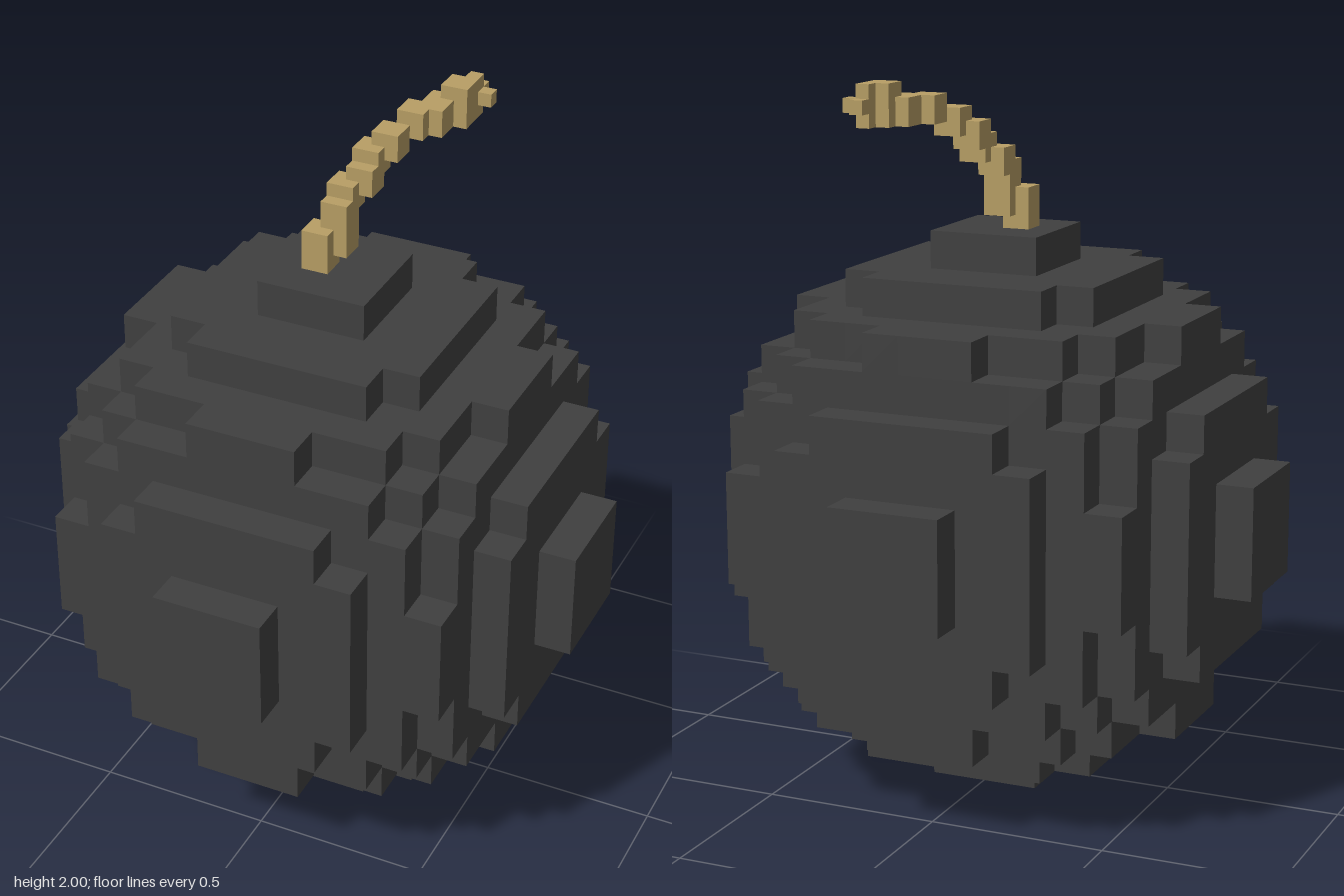
import * as THREE from 'three';
import { mergeGeometries } from 'three/addons/utils/BufferGeometryUtils.js';

// Outward turns of a +z facing square, one per cube side
const SIDES = [
  [1, 0, 0], [-1, 0, 0], [0, 1, 0], [0, -1, 0], [0, 0, 1], [0, 0, -1],
].map((d) => ({
  d,
  turn: new THREE.Quaternion().setFromUnitVectors(new THREE.Vector3(0, 0, 1), new THREE.Vector3(...d)),
}));

// Skin of a set of cube cells: only the exposed sides are built
function voxelMesh(name, cells, size, color) {
  const key = (x, y, z) => `${x},${y},${z}`;
  const filled = new Map(cells.map((c) => [key(...c), c]));
  const quads = [];
  for (const [x, y, z] of filled.values()) {
    for (const { d, turn } of SIDES) {
      if (filled.has(key(x + d[0], y + d[1], z + d[2]))) continue;
      quads.push(new THREE.PlaneGeometry(size, size)
        .translate(0, 0, size / 2)
        .applyQuaternion(turn)
        .translate(x * size, y * size, z * size));
    }
  }
  const mesh = new THREE.Mesh(
    mergeGeometries(quads),
    new THREE.MeshStandardMaterial({ color, flatShading: true }),
  );
  mesh.name = name;
  return mesh;
}

export function createModel() {
  const group = new THREE.Group();
  group.name = 'bomb';

  // Round body: a ball of cubes, 15 cells across
  const bodyCell = 0.105, r = 7;
  const ball = [];
  for (let x = -r; x <= r; x++)
    for (let y = -r; y <= r; y++)
      for (let z = -r; z <= r; z++)
        if (x * x + y * y + z * z <= 51) ball.push([x, y, z]);
  const body = voxelMesh('body', ball, bodyCell, 0x404040);
  body.position.y = 7.5 * bodyCell;
  group.add(body);

  // Fuse: 2x2x2 blocks stamped along a bending path (x, up, back)
  const fuseCell = 0.0386;
  const path = [
    [0, 0, 0], [0, 1, 0], [1, 1, 1], [1, 2, 1], [1, 3, 1], [1, 4, 2], [2, 5, 3], [2, 6, 4],
    [3, 7, 5], [4, 8, 7], [5, 8, 8], [5, 8, 9], [6, 8, 10], [6, 9, 10],
  ];
  const strand = [];
  for (const [x, y, b] of path)
    for (let i = 0; i < 8; i++) strand.push([x + (i & 1), y + ((i >> 1) & 1), -b - (i >> 2)]);
  // Star-shaped fuse tip
  strand.push([7, 9, -12]);
  for (const { d } of SIDES) if (d[0] >= 0) strand.push([7 + d[0], 9 + d[1], -12 + d[2]]);
  const fuse = voxelMesh('fuse', strand, fuseCell, 0xb89f65);
  fuse.position.set(-0.081 + fuseCell / 2, 15 * bodyCell + fuseCell / 2, 0.044 - fuseCell / 2);
  group.add(fuse);

  return group;
}
